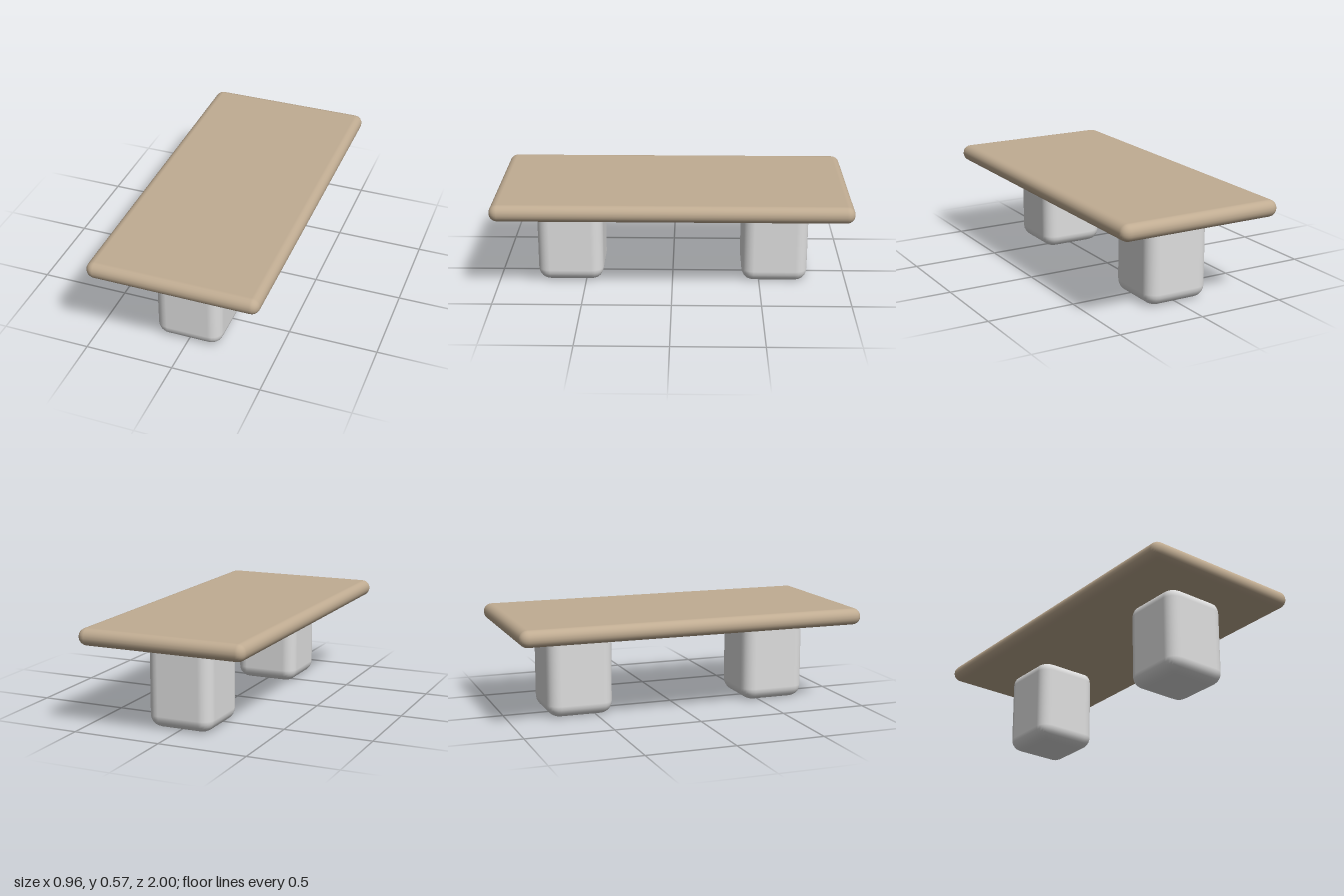
import * as THREE from 'three';
import { RoundedBoxGeometry } from 'three/addons/geometries/RoundedBoxGeometry.js';

export function createModel() {
  const model = new THREE.Group();
  model.name = 'bench';

  const wood = new THREE.MeshStandardMaterial({ color: 0xc0ac92 });
  wood.name = 'tan wood';
  const stone = new THREE.MeshStandardMaterial({ color: 0xdedede });
  stone.name = 'pale stone';

  // Rounded block standing with its underside at the given height
  function addBlock(name, [width, height, depth], radius, bottom, z, material) {
    const geometry = new RoundedBoxGeometry(width, height, depth, 3, radius);
    const mesh = new THREE.Mesh(geometry, material);
    mesh.name = name;
    mesh.position.set(0, bottom + height / 2, z);
    model.add(mesh);
  }

  // Long seat slab with fully rounded edges
  addBlock('seat', [0.962, 0.095, 2], 0.047, 0.471, 0, wood);

  // Two block legs, their tops sunk into the seat
  addBlock('frontLeg', [0.378, 0.5, 0.378], 0.07, 0, 0.588, stone);
  addBlock('backLeg', [0.378, 0.5, 0.378], 0.07, 0, -0.588, stone);

  return model;
}
